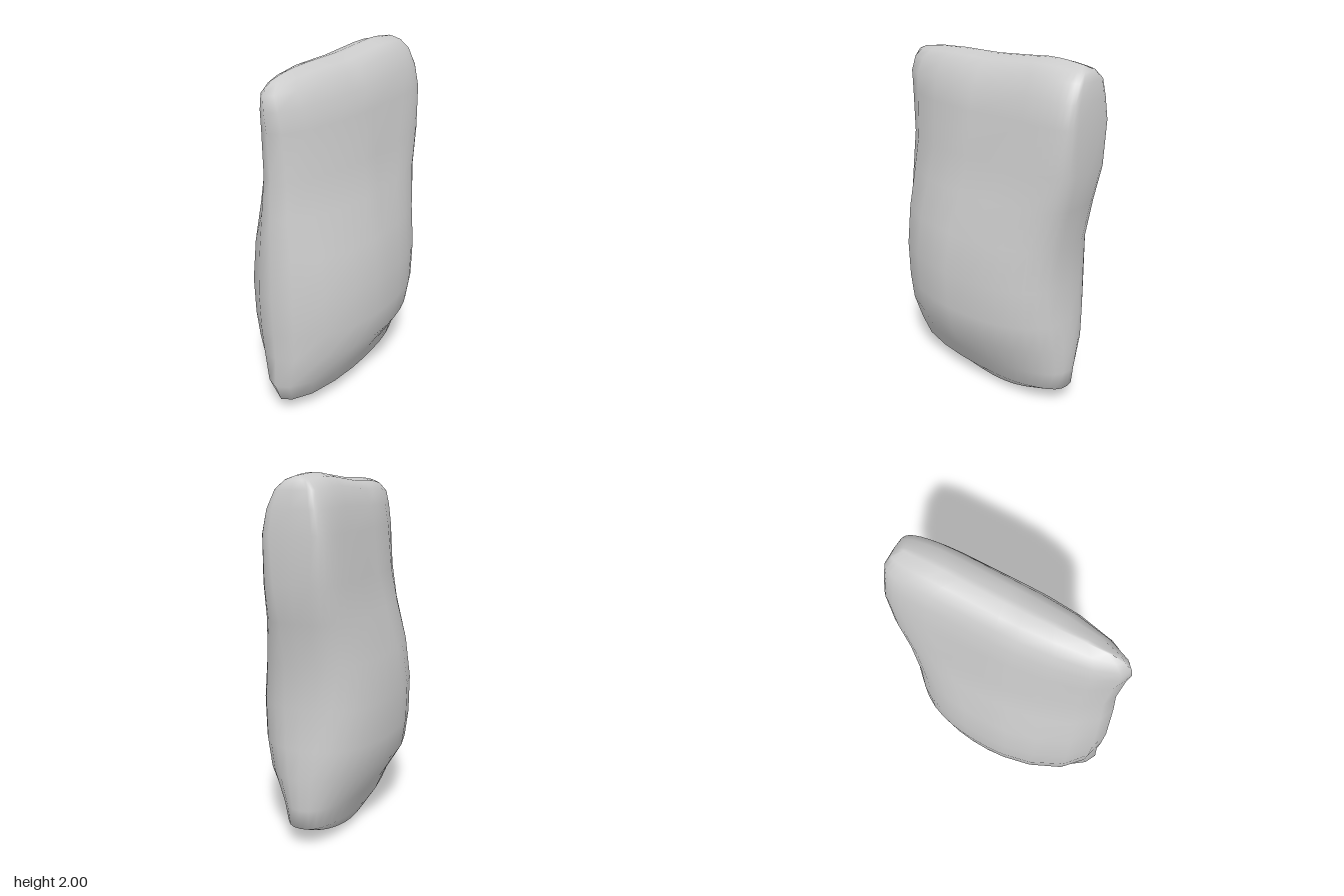
import * as THREE from 'three';

// Level rings, bottom to top: height, centre x, half width, front z, back z, squareness of the back
const RINGS = [
  [0.03, -0.005, 0.02, 0.40, -0.36, 2.5],
  [0.042, -0.01, 0.13, 0.47, -0.45, 2.5],
  [0.10, 0, 0.185, 0.60, -0.575, 2.4],
  [0.22, 0, 0.235, 0.65, -0.585, 2.2],
  [0.40, 0, 0.345, 0.64, -0.595, 2.1],
  [0.56, 0, 0.365, 0.65, -0.575, 2.4],
  [0.78, 0, 0.367, 0.655, -0.56, 2.6],
  [1.02, 0, 0.335, 0.645, -0.565, 2.7],
  [1.25, 0, 0.275, 0.635, -0.61, 3.2],
  [1.45, 0, 0.237, 0.62, -0.65, 4.2],
  [1.70, 0, 0.207, 0.635, -0.655, 6],
  [1.82, 0, 0.178, 0.65, -0.65, 6],
  [1.91, -0.01, 0.138, 0.64, -0.64, 6],
  [1.955, -0.01, 0.085, 0.60, -0.62, 5],
  [1.975, -0.01, 0.015, 0.54, -0.58, 4],
];

// Pinched front of the half outline (x, z as fractions)
const FRONT = [[0, 1], [0.3, 0.94], [0.64, 0.76], [0.88, 0.46], [0.98, 0.18], [1, 0]];
const BACK_STEPS = 9;

// Closed outline: pinched front, superellipse back, mirrored to the other side
function outlineOf(square) {
  const half = [...FRONT];
  for (let i = 1; i < BACK_STEPS; i++) {
    const a = (i / BACK_STEPS) * Math.PI / 2;
    half.push([Math.cos(a) ** (2 / square), -(Math.sin(a) ** (2 / square))]);
  }
  half.push([0, -1]);
  return [...half, ...half.slice(1, -1).reverse().map(([x, z]) => [-x, z])];
}

// Height change along z for the uneven bottom and the crown, which peaks towards the back
function lift(y, z) {
  const { smoothstep } = THREE.MathUtils;
  const top = smoothstep(y, 1.7, 1.95);
  const foot = 1 - smoothstep(y, 0.03, 0.3);
  const keel = 1 - smoothstep(y, 0.03, 0.065);
  const peak = Math.exp(-(((z + 0.38) / 0.2) ** 2));
  const low = Math.exp(-(((z + 0.13) / 0.2) ** 2));
  return top * (0.025 * peak - 0.025 * smoothstep(z, 0.3, 0.6))
    + foot * 0.015 * smoothstep(-z, 0.25, 0.5) - keel * 0.03 * low;
}

function bodyGeometry() {
  const n = 2 * (FRONT.length + BACK_STEPS - 1);
  const positions = [];
  const index = [];
  for (const [y, cx, w, front, back, square] of RINGS) {
    for (const [u, v] of outlineOf(square)) {
      const z = (front + back) / 2 + (v * (front - back)) / 2;
      positions.push(cx + u * w, y + lift(y, z), z);
    }
  }
  // Side skin between neighbouring rings
  for (let r = 0; r < RINGS.length - 1; r++) {
    for (let i = 0; i < n; i++) {
      const a = r * n + i;
      const b = r * n + ((i + 1) % n);
      index.push(a, b, b + n, a, b + n, a + n);
    }
  }
  // Narrow closing strips, joining the left and right half of the end rings
  const last = (RINGS.length - 1) * n;
  for (let i = 0; i < n / 2; i++) {
    const j = (n - i) % n;
    const k = n - i - 1;
    index.push(i, j, k, i, k, i + 1);
    index.push(last + i, last + k, last + j, last + i, last + i + 1, last + k);
  }
  const geometry = new THREE.BufferGeometry();
  geometry.setAttribute('position', new THREE.Float32BufferAttribute(positions, 3));
  geometry.setIndex(index);
  geometry.computeVertexNormals();
  return geometry;
}

export function createModel() {
  const group = new THREE.Group();
  group.name = 'pouch';
  const grey = new THREE.MeshStandardMaterial({ color: 0xcccccc });
  grey.name = 'light grey';
  const body = new THREE.Mesh(bodyGeometry(), grey);
  body.name = 'body';
  group.add(body);
  return group;
}
